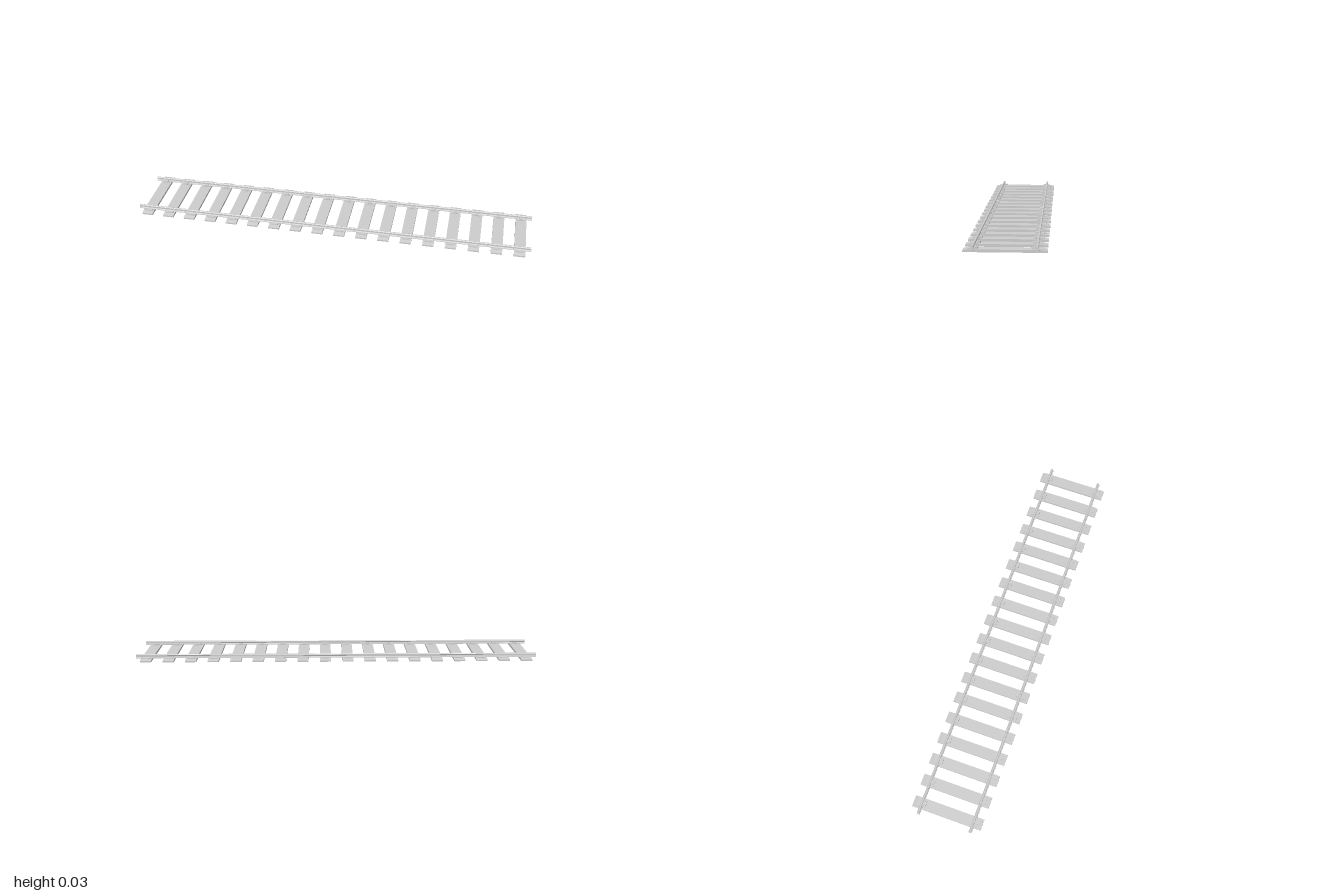
import * as THREE from 'three';

const LENGTH = 2, RAIL_Z = 0.133, SLEEPERS = 18, SPACING = 0.1113;
const material = new THREE.MeshStandardMaterial({ color: 0xcccccc, flatShading: true });

// Extrudes a (z, y) cross-section along x, centred on x = 0.
function extrudeAlongX(points, length) {
  const shape = new THREE.Shape(points.map(([z, y]) => new THREE.Vector2(-z, y)));
  const geometry = new THREE.ExtrudeGeometry(shape, { depth: length, bevelEnabled: false });
  geometry.translate(0, 0, -length / 2);
  return geometry.rotateY(Math.PI / 2);
}

function addMesh(parent, name, geometry, x = 0, y = 0, z = 0) {
  const mesh = new THREE.Mesh(geometry, material);
  mesh.name = name;
  mesh.position.set(x, y, z);
  parent.add(mesh);
}

export function createModel() {
  const track = new THREE.Group();
  track.name = 'railwayTrack';

  // Rail section: wide foot, thin web, chamfered head
  const halfRail = [
    [0.008, 0.0115], [0.008, 0.0145], [0.0025, 0.0175], [0.0025, 0.022],
    [0.005, 0.0235], [0.005, 0.028], [0.003, 0.0305],
  ];
  const railSection = [...halfRail, ...halfRail.map(([z, y]) => [-z, y]).reverse()];
  const railGeometry = extrudeAlongX(railSection, LENGTH);

  // Sleeper section: flat middle with ends sloping down
  const sleeperGeometry = extrudeAlongX([
    [-0.176, 0], [0.176, 0], [0.176, 0.007], [0.153, 0.0115], [-0.153, 0.0115], [-0.176, 0.007],
  ], 0.055);
  const plateGeometry = new THREE.BoxGeometry(0.034, 0.0035, 0.042);
  const clipGeometry = new THREE.BoxGeometry(0.02, 0.008, 0.018);

  for (const side of [1, -1]) {
    addMesh(track, side > 0 ? 'frontRail' : 'backRail', railGeometry, 0, 0, side * RAIL_Z);
  }

  // Sleepers, each with a base plate and an inner clip per rail
  for (let i = 0; i < SLEEPERS; i++) {
    const tie = new THREE.Group();
    tie.name = `sleeperAssembly${i + 1}`;
    tie.position.x = (i - (SLEEPERS - 1) / 2) * SPACING;
    addMesh(tie, 'sleeper', sleeperGeometry);
    for (const side of [1, -1]) {
      addMesh(tie, 'basePlate', plateGeometry, 0, 0.01325, side * 0.134);
      addMesh(tie, 'railClip', clipGeometry, 0, 0.0155, side * 0.122);
    }
    track.add(tie);
  }
  return track;
}
